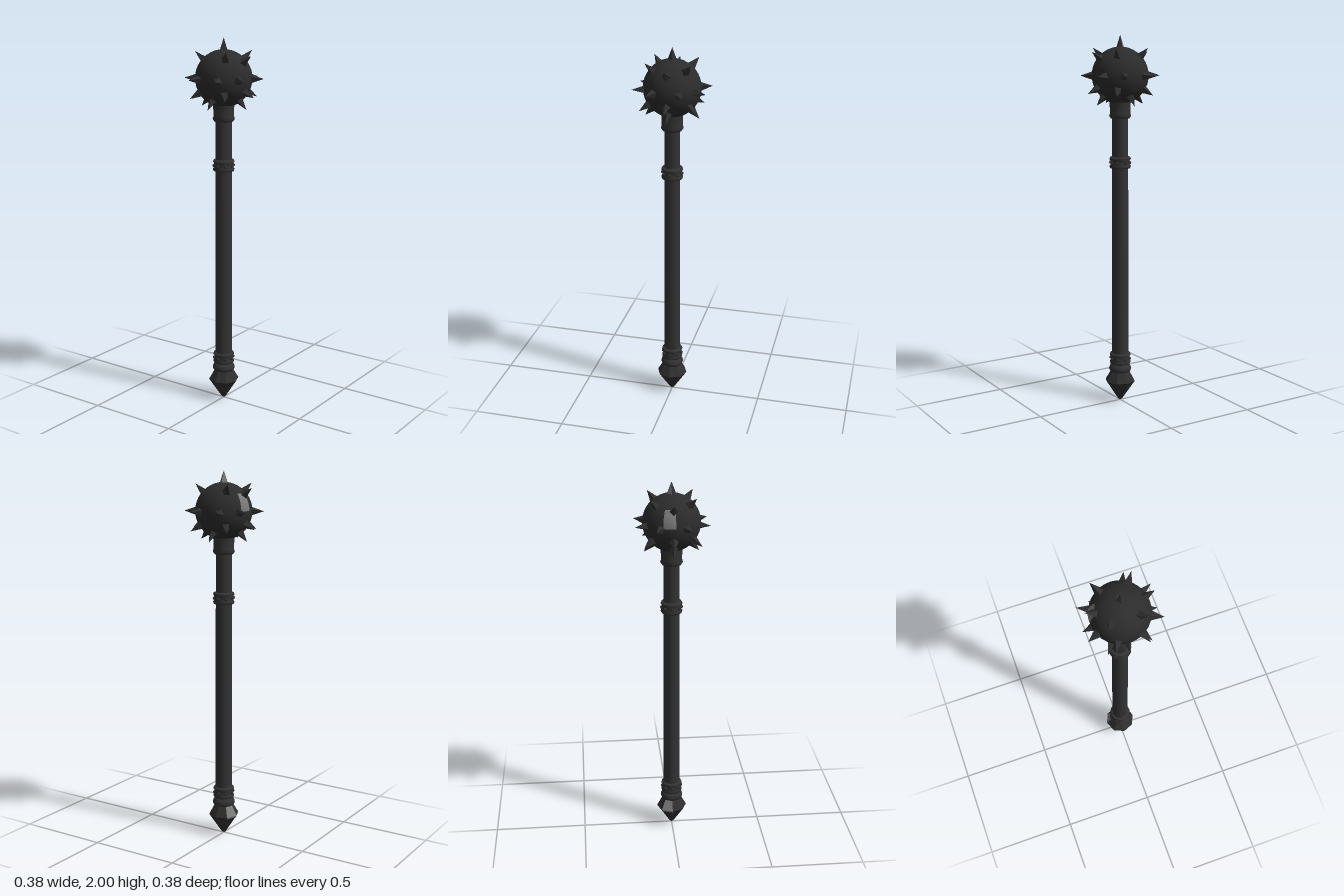
import * as THREE from 'three';

export function createModel() {
  const model = new THREE.Group();
  const makeMaterial = (name, color, flatShading = false) => {
    const material = new THREE.MeshStandardMaterial({ color, flatShading });
    material.name = name;
    return material;
  };
  const iron = makeMaterial('darkIron', 0x333334);
  const facetedIron = makeMaterial('darkIronFaceted', 0x2f2f30, true);
  const ballIron = makeMaterial('blackIron', 0x2c2c2d);
  const bareMetal = makeMaterial('bareMetal', 0x7a7a7a, true);

  const add = (name, geometry, material = iron, parent = model) => {
    const mesh = new THREE.Mesh(geometry, material);
    mesh.name = name;
    parent.add(mesh);
    return mesh;
  };
  const lathe = (name, profile, sides, material, start, length) =>
    add(name, new THREE.LatheGeometry(profile.map(([r, y]) => new THREE.Vector2(r, y)), sides, start, length), material);

  // Shaft, slightly slimmer above the upper ring
  lathe('shaft', [[0.045, 0.15], [0.045, 0.7], [0.043, 1.33], [0.042, 1.7]], 12);

  // Pointed pommel with one worn facet, and its neck
  lathe('pommel', [[0, 0], [0.012, 0.008], [0.083, 0.115], [0.05, 0.172], [0.04, 0.18]], 8, facetedIron);
  lathe('wornPommelFacet', [[0.08, 0.105], [0.085, 0.115], [0.052, 0.172]], 1, bareMetal, Math.PI * 1.25, Math.PI / 4);
  lathe('pommelNeck', [[0.04, 0.165], [0.056, 0.17], [0.062, 0.185], [0.056, 0.2], [0.046, 0.215], [0.04, 0.215]], 16);

  // Banded rings with small studs
  const ring = (name, y) => {
    lathe(name, [[0.04, y - 0.032], [0.054, y - 0.03], [0.058, y - 0.02], [0.052, y - 0.012],
      [0.052, y + 0.012], [0.058, y + 0.02], [0.054, y + 0.03], [0.04, y + 0.032]], 16);
    const studs = new THREE.Group();
    studs.name = name + 'Studs';
    for (let i = 0; i < 8; i++) {
      const a = (i * Math.PI) / 4;
      const stud = add('stud', new THREE.SphereGeometry(0.009, 6, 4), iron, studs);
      stud.position.set(0.053 * Math.cos(a), y, 0.053 * Math.sin(a));
    }
    model.add(studs);
  };
  ring('lowerRing', 0.243);
  ring('upperRing', 1.33);

  // Socket under the head
  lathe('headCollar', [[0.04, 1.565], [0.05, 1.565], [0.059, 1.578], [0.055, 1.592], [0.056, 1.64], [0.062, 1.67]], 16);

  // Ball head with a worn patch on its side
  const head = new THREE.Group();
  head.name = 'head';
  head.position.y = 1.79;
  model.add(head);
  add('ball', new THREE.SphereGeometry(0.15, 32, 20), ballIron, head);
  const deg = THREE.MathUtils.degToRad;
  add('wornBallPatch', new THREE.SphereGeometry(0.1515, 6, 6, deg(-21), deg(25), deg(51), deg(37)), bareMetal, head);

  // Four-sided spikes pointing away from the ball centre
  const up = new THREE.Vector3(0, 1, 0);
  const spikeGeometry = new THREE.ConeGeometry(0.028, 0.075, 4);
  spikeGeometry.translate(0, 0.1725, 0);
  const spike = (x, y, z) => {
    const mesh = add('spike', spikeGeometry, facetedIron, head);
    mesh.quaternion.setFromUnitVectors(up, new THREE.Vector3(x, y, z).normalize());
  };
  spike(0, 1, 0);
  // Directions mirrored across x and z
  const directions = [
    [0.095, 0.14, 0.115], [0.16, 0.115, 0],
    [0.185, 0, 0.09], [0.085, 0, 0.19],
    [0.19, -0.09, 0], [0.11, -0.1, 0.145],
    [0.14, -0.15, 0], [0, -0.15, 0.14],
  ];
  for (const [x, y, z] of directions) {
    for (const sx of x ? [1, -1] : [1]) {
      for (const sz of z ? [1, -1] : [1]) spike(sx * x, y, sz * z);
    }
  }

  // Worn face of the top spike
  const wornFace = new THREE.ConeGeometry(0.0295, 0.076, 1, 1, true, Math.PI, Math.PI / 2);
  add('wornSpikeFace', wornFace, bareMetal, head).position.y = 0.1725;
  return model;
}
